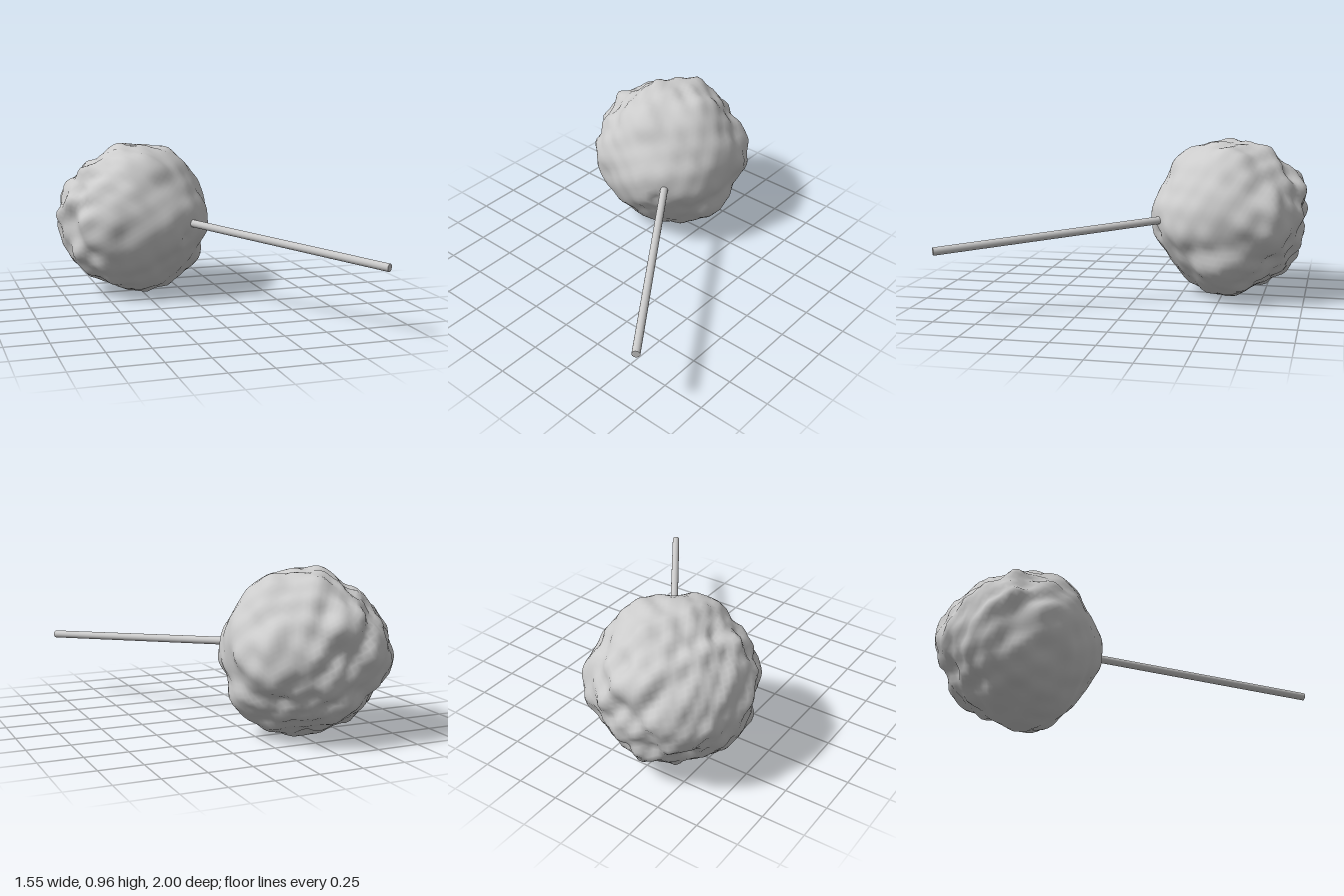
import * as THREE from 'three';
import { mergeVertices } from 'three/addons/utils/BufferGeometryUtils.js';

const CENTER = new THREE.Vector3(-0.29, 0.477, -0.53);

// Outline points of the lump in its three middle planes: [x, y], [z, y] and [x, z]
const FRONT = [[-0.36, 0.95], [-0.18, 0.935], [-0.04, 0.9], [0.08, 0.78], [0.18, 0.63], [0.15, 0.4], [0.14, 0.19],
  [-0.03, 0.05], [-0.18, 0], [-0.37, 0.03], [-0.56, 0.1], [-0.71, 0.26], [-0.775, 0.52], [-0.74, 0.63],
  [-0.64, 0.77], [-0.5, 0.86]];
const SIDE = [[-0.22, 0.87], [-0.48, 0.95], [-0.78, 0.89], [-0.85, 0.8], [-0.99, 0.69], [-0.96, 0.5], [-0.97, 0.38],
  [-0.89, 0.18], [-0.72, 0.08], [-0.57, 0], [-0.3, 0.06], [-0.18, 0.2], [-0.08, 0.4], [-0.07, 0.55], [-0.12, 0.68]];
const TOP = [[0.17, -0.72], [0.11, -0.86], [-0.03, -0.92], [-0.31, -0.99], [-0.56, -0.95], [-0.69, -0.8],
  [-0.77, -0.58], [-0.7, -0.4], [-0.6, -0.16], [-0.33, -0.09], [-0.11, -0.07], [0.02, -0.15], [0.12, -0.25], [0.18, -0.48]];

// Turn the outline points into directions with a radius
const knots = [
  ...FRONT.map(([x, y]) => new THREE.Vector3(x, y, CENTER.z)),
  ...SIDE.map(([z, y]) => new THREE.Vector3(CENTER.x, y, z)),
  ...TOP.map(([x, z]) => new THREE.Vector3(x, CENTER.y, z)),
].map((p) => {
  const dir = p.sub(CENTER);
  const radius = dir.length();
  return { dir: dir.normalize(), radius };
});

const hollow = new THREE.Vector3(-0.05, 0.4, -0.11).sub(CENTER).normalize();
const stickDir = new THREE.Vector3(0.75, -0.085, 1.11).normalize();

// Uneven ripples, gentle on the stick side and rougher at the back
function ripple(d) {
  const a = Math.sin(7 * d.x + 3 * d.y + 1.3) * Math.sin(8 * d.y - 4 * d.z) * Math.cos(7 * d.z + 2 * d.x);
  const b = Math.sin(15 * d.x - 6 * d.z + 0.7) * Math.sin(14 * d.y + 5 * d.x + 2) * Math.cos(13 * d.z - 4 * d.y);
  const rough = 0.35 + 0.65 * THREE.MathUtils.smoothstep(-d.dot(stickDir), -0.7, 0.3);
  return rough * (0.022 * a + 0.022 * b);
}

function lumpRadius(d) {
  let weight = 0.15;
  let sum = 0.15 * 0.455;
  for (const k of knots) {
    const w = Math.exp(50 * (d.dot(k.dir) - 1));
    weight += w;
    sum += w * k.radius;
  }
  const dimple = 0.03 * Math.exp(500 * (d.dot(hollow) - 1));
  return sum / weight + ripple(d) - dimple;
}

function createLump() {
  let geometry = new THREE.IcosahedronGeometry(1, 16);
  geometry.deleteAttribute('uv');
  geometry.deleteAttribute('normal');
  geometry = mergeVertices(geometry, 1e-4);
  const pos = geometry.attributes.position;
  const d = new THREE.Vector3();
  for (let i = 0; i < pos.count; i++) {
    d.fromBufferAttribute(pos, i).normalize();
    const r = lumpRadius(d);
    d.multiplyScalar(r).add(CENTER);
    pos.setXYZ(i, d.x, Math.max(0, d.y), d.z);
  }
  geometry.computeVertexNormals();
  return geometry;
}

export function createModel() {
  const group = new THREE.Group();
  const material = new THREE.MeshStandardMaterial({ color: 0xcccccc });

  // Lumpy candy ball
  const lump = new THREE.Mesh(createLump(), material);
  lump.name = 'candyBall';
  group.add(lump);

  // Stick, running into the ball
  const tip = new THREE.Vector3(0.75, 0.4, 0.985);
  const inner = new THREE.Vector3(-0.14, 0.502, -0.335);
  const axis = tip.clone().sub(inner);
  const stick = new THREE.Mesh(new THREE.CylinderGeometry(0.023, 0.023, axis.length(), 16), material);
  stick.name = 'stick';
  stick.position.copy(tip).add(inner).multiplyScalar(0.5);
  stick.quaternion.setFromUnitVectors(new THREE.Vector3(0, 1, 0), axis.normalize());
  group.add(stick);

  return group;
}
